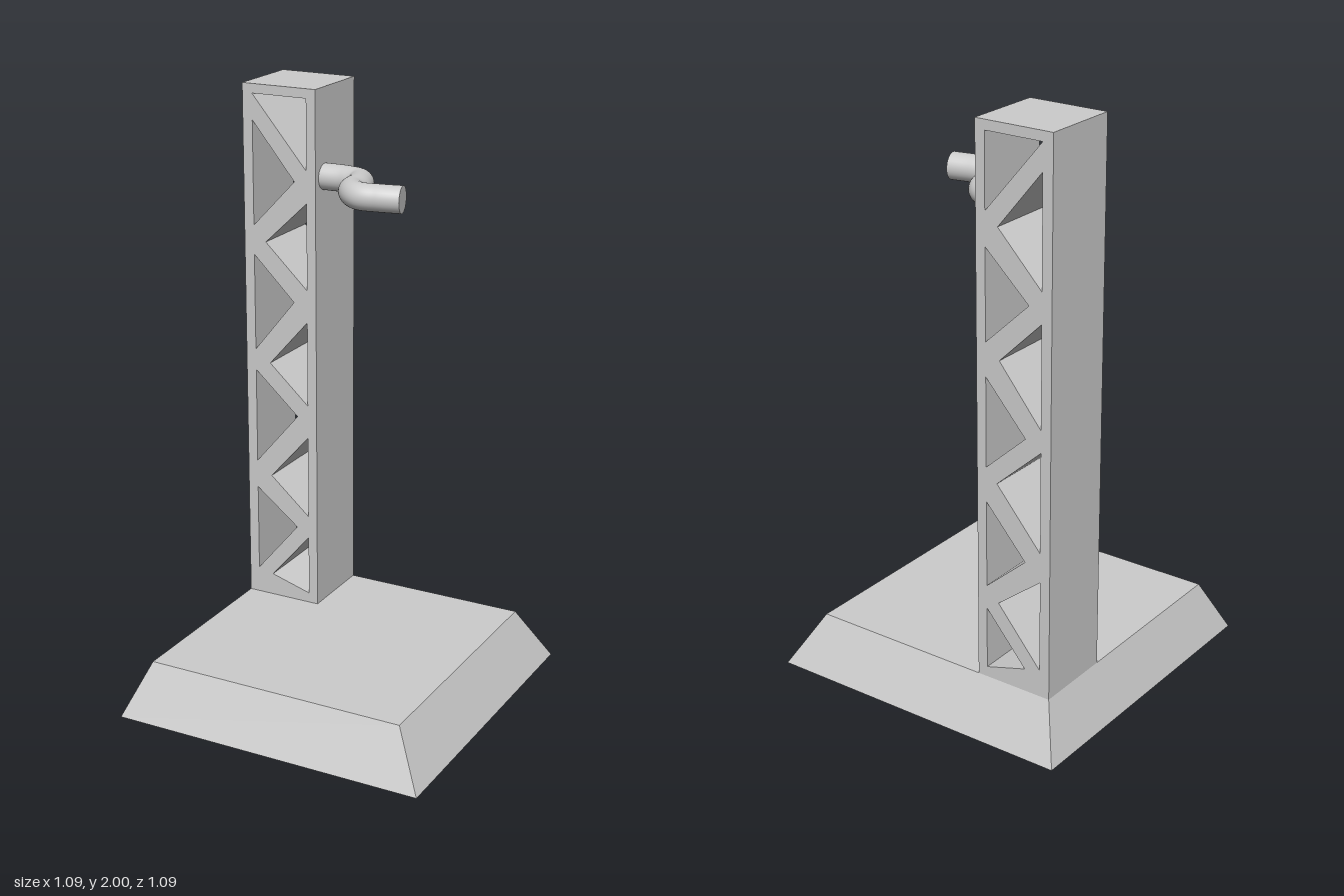
import * as THREE from 'three';

export function createModel() {
  const group = new THREE.Group();
  const material = new THREE.MeshStandardMaterial({ color: 0xcccccc });
  const add = (name, geometry, parent = group) => {
    const mesh = new THREE.Mesh(geometry, material);
    mesh.name = name;
    parent.add(mesh);
    return mesh;
  };

  // Base: a box whose top face is drawn in, slightly off centre
  const baseTop = 0.182;
  const base = new THREE.BoxGeometry(1.09, baseTop, 1.09).translate(0, baseTop / 2, 0);
  const pos = base.attributes.position;
  for (let i = 0; i < pos.count; i++) {
    if (pos.getY(i) < baseTop / 2) continue;
    pos.setX(i, pos.getX(i) < 0 ? -0.47 : 0.44);
    pos.setZ(i, Math.sign(pos.getZ(i)) * 0.455);
  }
  base.computeVertexNormals();
  add('base', base);

  // Tower: a square post with zigzag lattice openings cut front to back
  const left = -0.47, right = -0.199, back = -0.455, depth = 0.271;
  const innerLeft = -0.434, innerRight = -0.233;
  const polygon = (points, Type) => new Type(points.map(([x, y]) => new THREE.Vector2(x, y)));
  const outline = polygon([[left, baseTop], [right, baseTop], [right, 2], [left, 2]], THREE.Shape);

  // Each opening: upper corner, apex x, apex y, lower corner
  const leftOpenings = [
    [1.88, -0.278, 1.69, 1.526],
    [1.425, -0.283, 1.277, 1.091],
    [1.017, -0.273, 0.872, 0.683],
    [0.583, -0.278, 0.461, 0.275],
  ];
  const rightOpenings = [
    [1.968, innerLeft, 1.968, 1.73],
    [1.621, -0.389, 1.473, 1.325],
    [1.213, -0.378, 1.049, 0.917],
    [0.8, -0.378, 0.636, 0.509],
    [0.429, -0.378, 0.26, 0.217],
  ];
  for (const [side, openings] of [[innerLeft, leftOpenings], [innerRight, rightOpenings]]) {
    for (const [top, apexX, apexY, bottom] of openings) {
      outline.holes.push(polygon([[side, top], [apexX, apexY], [side, bottom]], THREE.Path));
    }
  }
  const tower = new THREE.ExtrudeGeometry(outline, { depth, bevelEnabled: false });
  add('latticeTower', tower.translate(0, 0, back));

  // Hook: a round bar bent in an S, lying level
  const radius = 0.0445;
  const hook = new THREE.Group();
  hook.name = 'hook';
  group.add(hook);
  const path = new THREE.CatmullRomCurve3([
    [-0.2, -0.249], [-0.115, -0.249], [-0.06, -0.23], [-0.036, -0.175],
    [-0.024, -0.107], [0.025, -0.061], [0.09, -0.065], [0.169, -0.08],
  ].map(([x, z]) => new THREE.Vector3(x, 1.704, z)));
  add('hookBar', new THREE.TubeGeometry(path, 64, radius, 32), hook);

  // Flat discs close both ends of the bar
  for (const [t, direction] of [[0, -1], [1, 1]]) {
    const cap = add('hookEnd', new THREE.CircleGeometry(radius, 32), hook);
    cap.position.copy(path.getPointAt(t));
    cap.quaternion.setFromUnitVectors(
      new THREE.Vector3(0, 0, 1), path.getTangentAt(t).multiplyScalar(direction));
  }
  return group;
}
